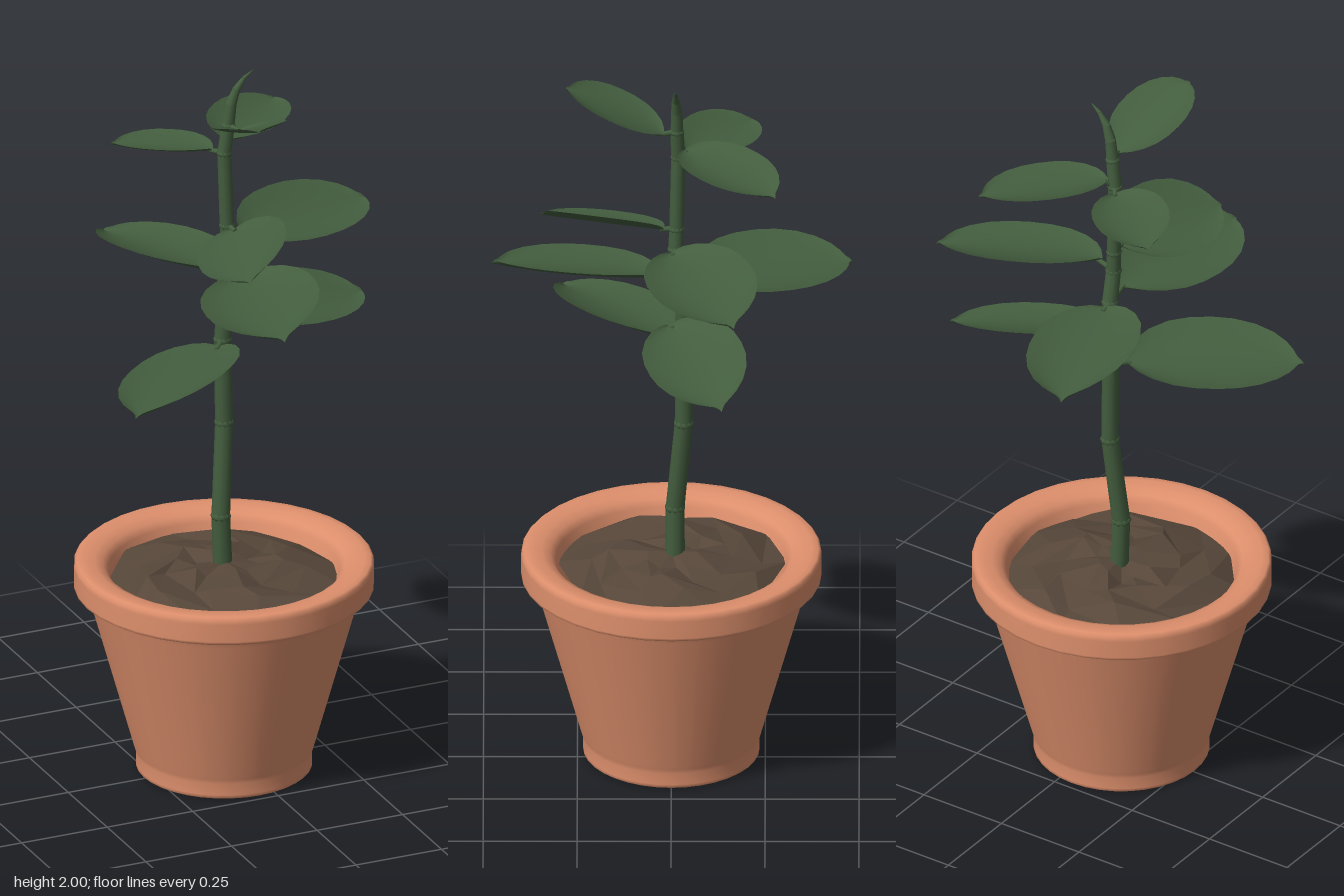
import * as THREE from 'three';

const terracotta = new THREE.MeshStandardMaterial({ color: 0xdd8f6c });
terracotta.name = 'terracotta';
const earth = new THREE.MeshStandardMaterial({ color: 0x57473a, side: THREE.DoubleSide });
earth.name = 'earth';
const leafGreen = new THREE.MeshStandardMaterial({ color: 0x435d3e, side: THREE.DoubleSide });
leafGreen.name = 'leafGreen';

const V = (x, y, z) => new THREE.Vector3(x, y, z);
const POT_X = -0.045;

function add(parent, name, geometry, material) {
  const mesh = new THREE.Mesh(geometry, material);
  mesh.name = name;
  parent.add(mesh);
  return mesh;
}

// Tapered rod between two points
function rod(parent, name, a, b, r0, r1, sides = 10) {
  const dir = b.clone().sub(a);
  const mesh = add(parent, name, new THREE.CylinderGeometry(r1, r0, dir.length(), sides), leafGreen);
  mesh.position.copy(a).add(b).multiplyScalar(0.5);
  mesh.quaternion.setFromUnitVectors(V(0, 1, 0), dir.normalize());
}

// Hollow pot wall, open at the bottom, with a thick rolled rim
function pot() {
  const profile = [
    [0.29, 0.5], [0.21, 0.1], [0.2, 0.05], [0.2, 0.006], [0.206, 0], [0.229, 0], [0.235, 0.004],
    [0.235, 0.012], [0.235, 0.045], [0.239, 0.058], [0.243, 0.072], [0.36, 0.495], [0.365, 0.514],
    [0.37, 0.52], [0.394, 0.52], [0.4, 0.524], [0.4, 0.53], [0.4, 0.58], [0.399, 0.592], [0.392, 0.599],
    [0.375, 0.6], [0.345, 0.597], [0.322, 0.586], [0.308, 0.568], [0.29, 0.5],
  ];
  return new THREE.LatheGeometry(profile.map(([r, y]) => new THREE.Vector2(r, y)), 36);
}

// Faceted lumpy soil disc
function soil() {
  let seed = 11;
  const rand = () => (seed = (seed * 16807) % 2147483647) / 2147483647;
  const rings = 4, sides = 12, pos = [0, 0.59, 0], index = [];
  for (let i = 1; i <= rings; i++) {
    for (let j = 0; j < sides; j++) {
      const edge = i === rings;
      const a = ((j + (rand() - 0.5) * 0.7) / sides) * Math.PI * 2;
      const r = edge ? 0.308 : (i / rings) * 0.3 + (rand() - 0.5) * 0.04;
      const y = edge ? 0.545 + (rand() - 0.5) * 0.025 : 0.593 - 0.008 * i + (rand() - 0.5) * 0.042;
      pos.push(r * Math.cos(a), y, r * Math.sin(a));
    }
  }
  const at = (i, j) => 1 + (i - 1) * sides + (j % sides);
  for (let j = 0; j < sides; j++) {
    index.push(0, at(1, j + 1), at(1, j));
    for (let i = 1; i < rings; i++) {
      index.push(at(i, j), at(i, j + 1), at(i + 1, j), at(i, j + 1), at(i + 1, j + 1), at(i + 1, j));
    }
  }
  const g = new THREE.BufferGeometry();
  g.setAttribute('position', new THREE.Float32BufferAttribute(pos, 3));
  g.setIndex(index);
  const flat = g.toNonIndexed();
  flat.computeVertexNormals();
  return flat;
}

// Half-width of the blade along its length: broad oval with a small drip tip
const OUTLINE = [
  [0, 0.05], [0.02, 0.24], [0.06, 0.46], [0.14, 0.7], [0.25, 0.89], [0.37, 0.98], [0.5, 1], [0.62, 0.96],
  [0.74, 0.84], [0.84, 0.65], [0.91, 0.43], [0.945, 0.25], [0.965, 0.11], [0.985, 0.05], [1, 0],
];

// Blade from base to tip, cupped upward along both margins; roll lifts one side
function blade(base, tip, halfWidth, roll) {
  const across = 12, pos = [], index = [];
  const along = tip.clone().sub(base);
  const side = V(0, 1, 0).cross(V(along.x, 0, along.z)).normalize();
  for (const [u, w] of OUTLINE) {
    for (let j = 0; j <= across; j++) {
      const v = (j / across) * 2 - 1;
      const s = v * w * halfWidth;
      const p = base.clone().addScaledVector(along, u).addScaledVector(side, s);
      p.y += roll * s + 0.23 * halfWidth * Math.sqrt(w) * v * v;
      pos.push(p.x, p.y, p.z);
    }
  }
  const n = across + 1;
  for (let i = 0; i < OUTLINE.length - 1; i++) {
    for (let j = 0; j < across; j++) {
      const a = i * n + j, b = a + n;
      index.push(a, b, a + 1, a + 1, b, b + 1);
    }
  }
  const g = new THREE.BufferGeometry();
  g.setAttribute('position', new THREE.Float32BufferAttribute(pos, 3));
  g.setIndex(index);
  g.computeVertexNormals();
  return g;
}

// Stem joints, bottom to top
const STEM = [
  V(-0.043, 0.54, -0.01), V(-0.05, 0.72, -0.01), V(-0.03, 0.98, -0.033), V(-0.033, 1.22, -0.035),
  V(-0.03, 1.28, -0.034), V(-0.028, 1.41, -0.03), V(-0.027, 1.5, -0.012), V(-0.03, 1.56, -0.014),
  V(-0.036, 1.77, -0.018), V(-0.026, 1.85, -0.015),
];

// Blade base, tip, half width, roll and the stem joint it grows from
const LEAVES = [
  [V(-0.06, 1.215, 0.0), V(-0.435, 1.192, 0.29), 0.14, 0.18, 3],
  [V(0.0, 1.285, 0.005), V(0.42, 1.24, -0.135), 0.128, 0.24, 4],
  [V(-0.02, 1.42, 0.03), V(-0.085, 1.428, 0.48), 0.152, 0.22, 5],
  [V(-0.03, 1.405, -0.06), V(-0.18, 1.385, -0.483), 0.147, 0.14, 5],
  [V(0.02, 1.51, 0.002), V(0.44, 1.497, -0.167), 0.137, 0.17, 6],
  [V(-0.022, 1.56, 0.02), V(-0.128, 1.552, 0.35), 0.117, 0.42, 7],
  [V(-0.055, 1.768, -0.05), V(-0.28, 1.76, -0.215), 0.1, 0.13, 8],
  [V(-0.025, 1.795, -0.035), V(0.228, 1.778, -0.278), 0.102, 0.06, 8],
  [V(-0.012, 1.845, 0.02), V(-0.072, 1.955, 0.283), 0.1, 0.04, 9],
];

export function createModel() {
  const model = new THREE.Group();
  model.name = 'pottedPlant';

  add(model, 'pot', pot(), terracotta).position.x = POT_X;
  add(model, 'soil', soil(), earth).position.x = POT_X;

  // Jointed stem with a swollen ring at each joint
  const stem = new THREE.Group();
  stem.name = 'stem';
  model.add(stem);
  const radius = (i) => 0.026 - 0.0009 * i;
  for (let i = 0; i < STEM.length - 1; i++) {
    rod(stem, 'stemSegment', STEM[i], STEM[i + 1], radius(i), radius(i + 1));
    const ring = add(stem, 'stemNode', new THREE.SphereGeometry(radius(i + 1) * 1.12, 10, 6), leafGreen);
    ring.position.copy(STEM[i + 1]);
    ring.scale.y = 0.6;
  }

  // Curved pointed bud at the top
  const bud = [STEM[9], V(-0.018, 1.91, -0.014), V(-0.004, 1.95, -0.012), V(0.018, 1.98, -0.011), V(0.045, 2, -0.01)];
  const budRadius = [0.017, 0.015, 0.011, 0.006, 0.001];
  for (let i = 0; i < 4; i++) rod(stem, 'bud', bud[i], bud[i + 1], budRadius[i], budRadius[i + 1]);

  // Leaves with their stalks
  for (const [base, tip, halfWidth, roll, joint] of LEAVES) {
    const leaf = new THREE.Group();
    leaf.name = 'leaf';
    add(leaf, 'blade', blade(base, tip, halfWidth, roll), leafGreen);
    rod(leaf, 'stalk', STEM[joint], base.clone().lerp(tip, 0.03), 0.009, 0.006, 8);
    model.add(leaf);
  }
  return model;
}
